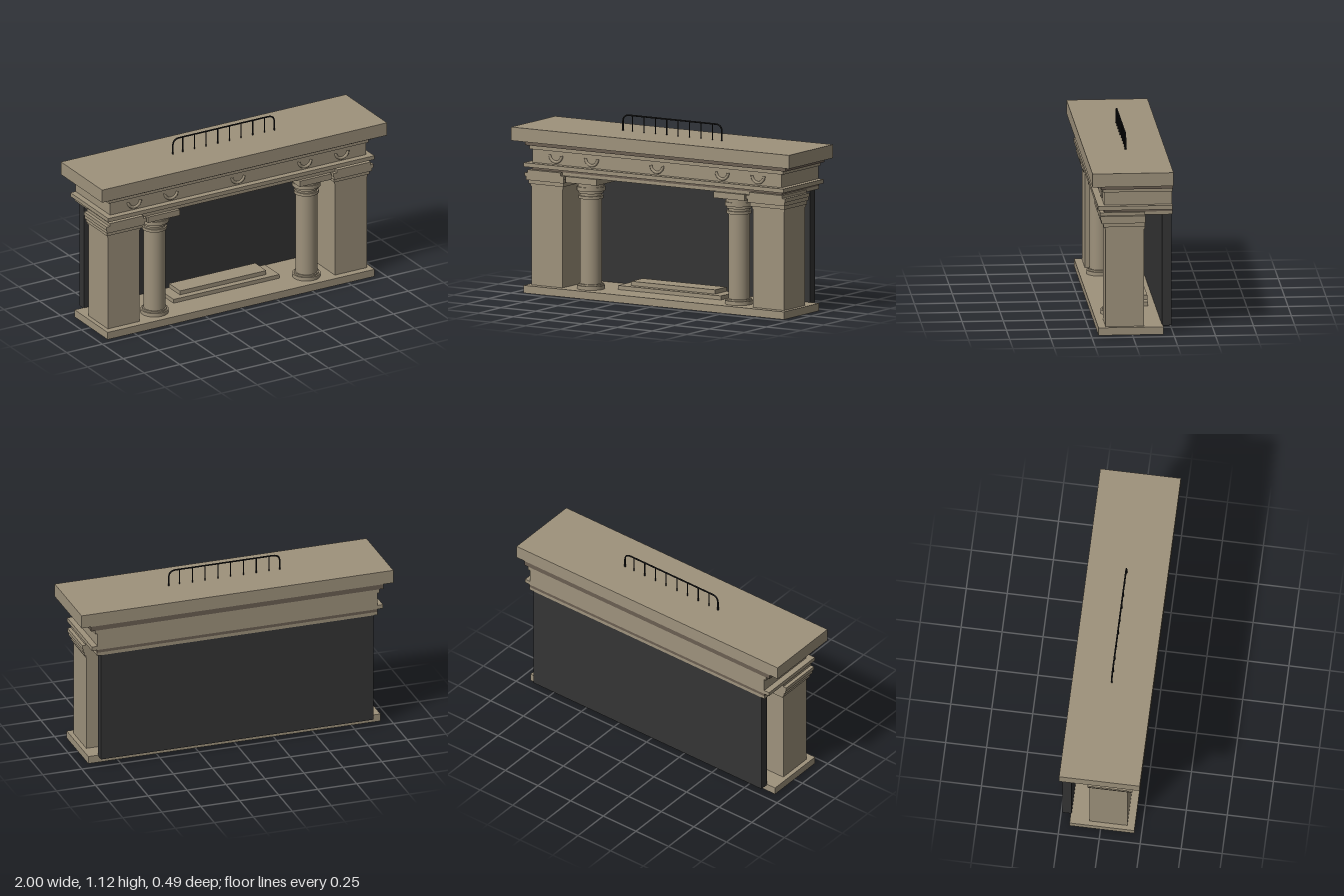
import * as THREE from 'three';

const stone = new THREE.MeshStandardMaterial({ color: 0x9e927c });
stone.name = 'stone';
const darkStone = new THREE.MeshStandardMaterial({ color: 0x6b5f52 });
darkStone.name = 'dark stone';
const charcoal = new THREE.MeshStandardMaterial({ color: 0x343434 });
charcoal.name = 'charcoal panel';
const iron = new THREE.MeshStandardMaterial({ color: 0x1b1b1b });
iron.name = 'black iron';

function add(parent, name, geometry, material) {
  const mesh = new THREE.Mesh(geometry, material);
  mesh.name = name;
  parent.add(mesh);
  return mesh;
}

// Box given by its limits on each axis
function block(parent, name, [x0, x1], [y0, y1], [z0, z1], material = stone) {
  const mesh = add(parent, name, new THREE.BoxGeometry(x1 - x0, y1 - y0, z1 - z0), material);
  mesh.position.set((x0 + x1) / 2, (y0 + y1) / 2, (z0 + z1) / 2);
  return mesh;
}

function makePilaster(side) {
  const group = new THREE.Group();
  group.name = side > 0 ? 'leftPilaster' : 'rightPilaster';
  const cx = 0.797 * side;
  block(group, 'pilasterShaft', [cx - 0.112, cx + 0.112], [0.047, 0.67], [-0.072, 0.16]);
  // Stepped capital: bottom, top, half width, front
  const steps = [
    [0.652, 0.668, 0.116, 0.164],
    [0.668, 0.692, 0.125, 0.173],
    [0.692, 0.715, 0.134, 0.187],
    [0.715, 0.738, 0.14, 0.194],
    [0.738, 0.757, 0.118, 0.194],
  ];
  for (const [y0, y1, half, front] of steps) {
    block(group, 'pilasterCapitalStep', [cx - half, cx + half], [y0, y1], [-0.079, front]);
  }
  return group;
}

function makeColumn(side) {
  const group = new THREE.Group();
  group.name = side > 0 ? 'leftColumn' : 'rightColumn';
  // Stacked drums: name, bottom, top, radius
  const drums = [
    ['columnBase', 0.047, 0.07, 0.085],
    ['columnBaseRing', 0.07, 0.08, 0.075],
    ['columnShaft', 0.08, 0.7, 0.066],
    ['columnNeckRing', 0.602, 0.62, 0.076],
    ['columnCapitalRing', 0.635, 0.65, 0.076],
    ['columnCapitalDrum', 0.65, 0.675, 0.087],
    ['columnCapitalTop', 0.675, 0.703, 0.08],
  ];
  for (const [name, y0, y1, r] of drums) {
    add(group, name, new THREE.CylinderGeometry(r, r, y1 - y0, 32), stone).position.y = (y0 + y1) / 2;
  }
  block(group, 'columnAbacus', [-0.112, 0.112], [0.7, 0.738], [-0.112, 0.112]);
  group.position.set(0.533 * side, 0, 0.078);
  return group;
}

function makeRail() {
  const group = new THREE.Group();
  group.name = 'topRail';
  const w = 0.356, base = 1.016, top = 1.116, r = 0.045;
  // Hoop with rounded upper corners
  const path = new THREE.CurvePath();
  const v = (x, y) => new THREE.Vector3(x, y, 0);
  path.add(new THREE.LineCurve3(v(-w, base), v(-w, top - r)));
  path.add(new THREE.QuadraticBezierCurve3(v(-w, top - r), v(-w, top), v(-w + r, top)));
  path.add(new THREE.LineCurve3(v(-w + r, top), v(w - r, top)));
  path.add(new THREE.QuadraticBezierCurve3(v(w - r, top), v(w, top), v(w, top - r)));
  path.add(new THREE.LineCurve3(v(w, top - r), v(w, base)));
  add(group, 'railHoop', new THREE.TubeGeometry(path, 120, 0.005, 8), iron);
  // Inner posts
  for (let i = 0; i < 8; i++) {
    const post = add(group, 'railPost', new THREE.CylinderGeometry(0.0035, 0.0035, top - base, 8), iron);
    post.position.set((i - 3.5) * 0.082, (top + base) / 2, 0);
  }
  group.position.z = -0.004;
  return group;
}

export function createModel() {
  const model = new THREE.Group();
  model.name = 'fireplace';

  // Base slab and hearth steps
  block(model, 'baseSlab', [-0.937, 0.937], [0, 0.047], [-0.189, 0.206]);
  block(model, 'lowerHearthStep', [-0.371, 0.371], [0.047, 0.072], [-0.141, 0.03]);
  block(model, 'upperHearthStep', [-0.303, 0.303], [0.072, 0.098], [-0.141, -0.01]);

  // Dark back panel
  block(model, 'backPanel', [-0.873, 0.873], [0.041, 0.738], [-0.241, -0.184], charcoal);

  // Pilasters and columns, mirrored
  for (const side of [-1, 1]) model.add(makePilaster(side), makeColumn(side));

  // Entablature: name, bottom, top, half width, front, material
  const layers = [
    ['lintel', 0.737, 0.757, 0.9, 0.17, stone],
    ['lowerDarkBand', 0.757, 0.775, 0.9, 0.17, darkStone],
    ['ledge', 0.775, 0.8, 0.934, 0.208, stone],
    ['frieze', 0.8, 0.882, 0.897, 0.168, stone],
    ['friezeMoulding', 0.882, 0.905, 0.912, 0.178, stone],
    ['upperDarkBand', 0.905, 0.935, 0.938, 0.19, darkStone],
    ['mantelShelf', 0.935, 1.018, 1, 0.247, stone],
  ];
  for (const [name, y0, y1, half, front, material] of layers) {
    block(model, name, [-half, half], [y0, y1], [-0.245, front], material);
  }

  // Hanging half-ring ornaments along the frieze
  for (const x of [-0.728, -0.47, 0, 0.47, 0.728]) {
    const swag = add(model, 'friezeSwag', new THREE.TorusGeometry(0.043, 0.009, 10, 24, Math.PI), stone);
    swag.rotation.z = Math.PI;
    swag.position.set(x, 0.859, 0.169);
  }

  model.add(makeRail());
  return model;
}
